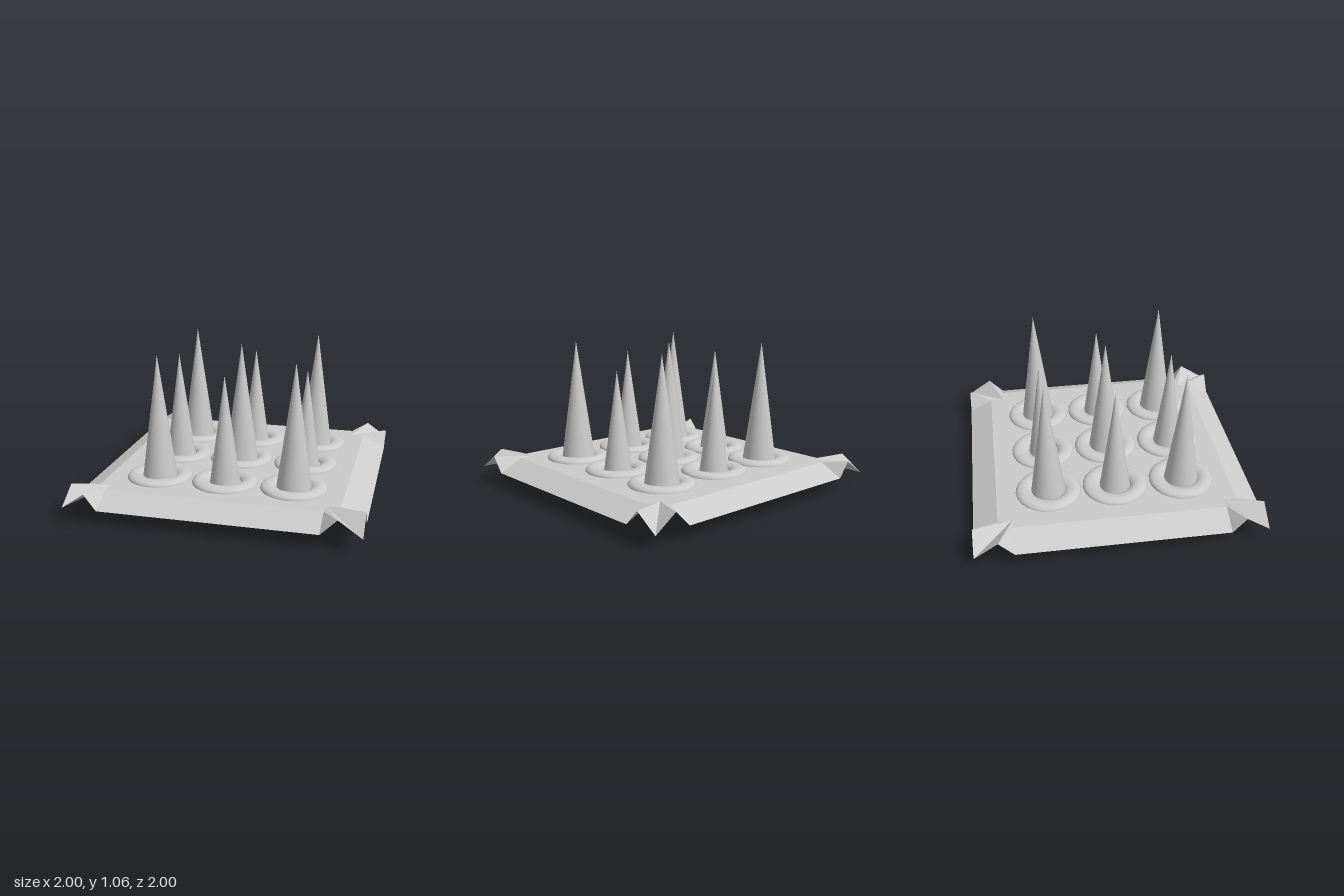
import * as THREE from 'three';

const material = new THREE.MeshStandardMaterial({ color: 0xcccccc, side: THREE.DoubleSide });
const flatMaterial = new THREE.MeshStandardMaterial({ color: 0xcccccc, side: THREE.DoubleSide, flatShading: true });

const TOP = 0.19, RIM = 0.105, PEAK = 0.215; // heights of plate, outer rim and corner peaks
const INNER = 0.83;                          // where the flat top meets the sloping border
const cornerX = { '-1': -0.755, '1': 0.73 };
const cornerZ = { '-1': -0.73, '1': 0.74 };

function mesh(name, geometry, mat) {
  const m = new THREE.Mesh(geometry, mat);
  m.name = name;
  return m;
}

// Flat-faced sheet from convex polygons, each turned to face upwards
function sheet(name, polygons) {
  const positions = [];
  for (const poly of polygons) {
    for (let i = 1; i < poly.length - 1; i++) {
      const [a, b, c] = [poly[0], poly[i], poly[i + 1]];
      const up = (b[2] - a[2]) * (c[0] - a[0]) - (b[0] - a[0]) * (c[2] - a[2]);
      positions.push(...a, ...(up >= 0 ? [...b, ...c] : [...c, ...b]));
    }
  }
  const g = new THREE.BufferGeometry();
  g.setAttribute('position', new THREE.Float32BufferAttribute(positions, 3));
  g.computeVertexNormals();
  return mesh(name, g, flatMaterial);
}

function rect(x0, x1, z0, z1) {
  return [[x0, TOP, z0], [x0, TOP, z1], [x1, TOP, z1], [x1, TOP, z0]];
}

// Thin plate: flat cross-shaped top and four sloping borders
function createPlate() {
  const xa = cornerX[-1], xb = cornerX[1], za = cornerZ[-1], zb = cornerZ[1];
  const faces = [rect(xa, xb, -INNER, INNER), rect(-INNER, xa, za, zb), rect(xb, INNER, za, zb)];
  for (const s of [-1, 1]) {
    faces.push([[xa, TOP, s * INNER], [xb, TOP, s * INNER], [xb, RIM, s], [xa, RIM, s]]);
    faces.push([[s * INNER, TOP, za], [s * INNER, TOP, zb], [s, RIM, zb], [s, RIM, za]]);
  }
  return sheet('basePlate', faces);
}

// Folded corner with two raised peaks and a valley running to the tip
function createCorner(sx, sz) {
  const x = cornerX[sx], z = cornerZ[sz];
  const heart = [x, TOP, z], tip = [sx, RIM, sz];
  const topX = [x, TOP, sz * INNER], rimX = [x, RIM, sz], peakX = [sx * 0.84, PEAK, sz];
  const topZ = [sx * INNER, TOP, z], rimZ = [sx, RIM, z], peakZ = [sx, PEAK, sz * 0.835];
  return sheet('foldedCorner', [
    [topX, rimX, peakX], [heart, topX, peakX], [heart, peakX, tip],
    [heart, tip, peakZ], [heart, peakZ, topZ], [topZ, peakZ, rimZ],
  ]);
}

export function createModel() {
  const model = new THREE.Group();
  model.name = 'spikeTrap';
  model.add(createPlate());
  for (const sx of [-1, 1]) for (const sz of [-1, 1]) model.add(createCorner(sx, sz));

  // Rounded collar, open underneath
  const profile = [
    [0.231, 0.172], [0.231, 0.195], [0.222, 0.208], [0.205, 0.219], [0.175, 0.225],
    [0.145, 0.219], [0.122, 0.206], [0.11, 0.19], [0.11, 0.172],
  ].map(([r, y]) => new THREE.Vector2(r, y));
  const collar = new THREE.LatheGeometry(profile, 24);

  // Hollow spike with its base at y = 0
  const height = 0.9;
  const spike = new THREE.ConeGeometry(0.125, height, 32, 1, true).translate(0, height / 2, 0);

  // Base heights: the four spikes beside the middle sit lower
  const bases = [
    [0.165, 0.02, 0.165],
    [0.065, 0.165, 0],
    [0.165, 0.05, 0.165],
  ];
  const xs = [-0.48, -0.006, 0.478], zs = [-0.462, 0.013, 0.493];
  zs.forEach((z, row) => xs.forEach((x, col) => {
    const ring = mesh('spikeCollar', collar, material);
    ring.position.set(x, 0, z);
    const cone = mesh('spike', spike, material);
    cone.position.set(x, bases[row][col], z);
    model.add(ring, cone);
  }));
  return model;
}
